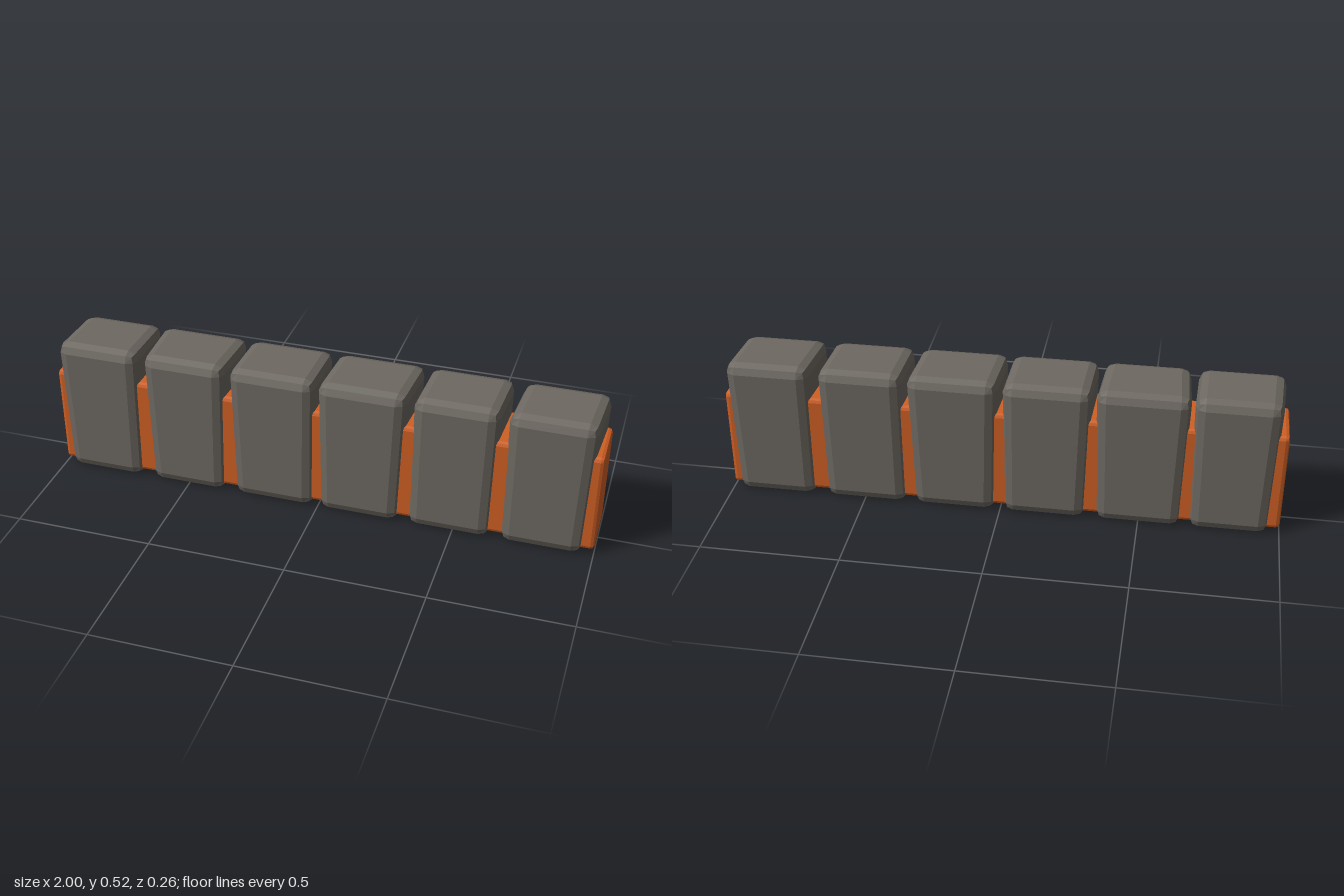
import * as THREE from 'three';
import { RoundedBoxGeometry } from 'three/addons/geometries/RoundedBoxGeometry.js';

const HEIGHT = 0.522, DEPTH = 0.26, BEVEL = 0.036;

// Each stone's two ends: [middle x, lean towards the top, lean towards the back]
const STONES = [
  { left: [-0.970, -0.006, 0.006], right: [-0.678, 0.004, 0.003] },
  { left: [-0.650, -0.006, -0.006], right: [-0.346, 0.006, 0.007] },
  { left: [-0.317, -0.006, 0.004], right: [-0.013, 0.003, 0.003] },
  { left: [0.010, -0.004, 0.007], right: [0.316, 0.010, 0.008] },
  { left: [0.344, 0.003, 0.005], right: [0.641, 0.005, 0.006] },
  { left: [0.678, 0.000, 0.009], right: [0.972, 0.007, 0.008] },
];

// Bevelled block whose two ends are tilted slightly, like rough-cut stone
function stoneGeometry({ left, right }) {
  const width = right[0] - left[0];
  const geometry = new RoundedBoxGeometry(width, HEIGHT, DEPTH, 1, BEVEL);
  const p = geometry.attributes.position;
  for (let i = 0; i < p.count; i++) {
    const [, leanY, leanZ] = p.getX(i) < 0 ? left : right;
    const up = p.getY(i) / (HEIGHT / 2);
    const back = -p.getZ(i) / (DEPTH / 2);
    p.setX(i, p.getX(i) + leanY * up + leanZ * back);
  }
  geometry.translate((left[0] + right[0]) / 2, HEIGHT / 2, 0);
  geometry.computeVertexNormals();
  return geometry;
}

export function createModel() {
  const model = new THREE.Group();
  model.name = 'stoneWall';

  const stone = new THREE.MeshStandardMaterial({ color: 0x6d6861, flatShading: true });
  stone.name = 'greyStone';
  const clay = new THREE.MeshStandardMaterial({ color: 0xd06024, flatShading: true });
  clay.name = 'orangeClay';

  // Long core running through all the stones
  const core = new THREE.Mesh(new RoundedBoxGeometry(2, 0.378, 0.216, 1, 0.014), clay);
  core.name = 'core';
  core.position.y = 0.208;
  model.add(core);

  // Row of upright stones
  STONES.forEach((spec, i) => {
    const block = new THREE.Mesh(stoneGeometry(spec), stone);
    block.name = `stone${i + 1}`;
    model.add(block);
  });

  return model;
}
